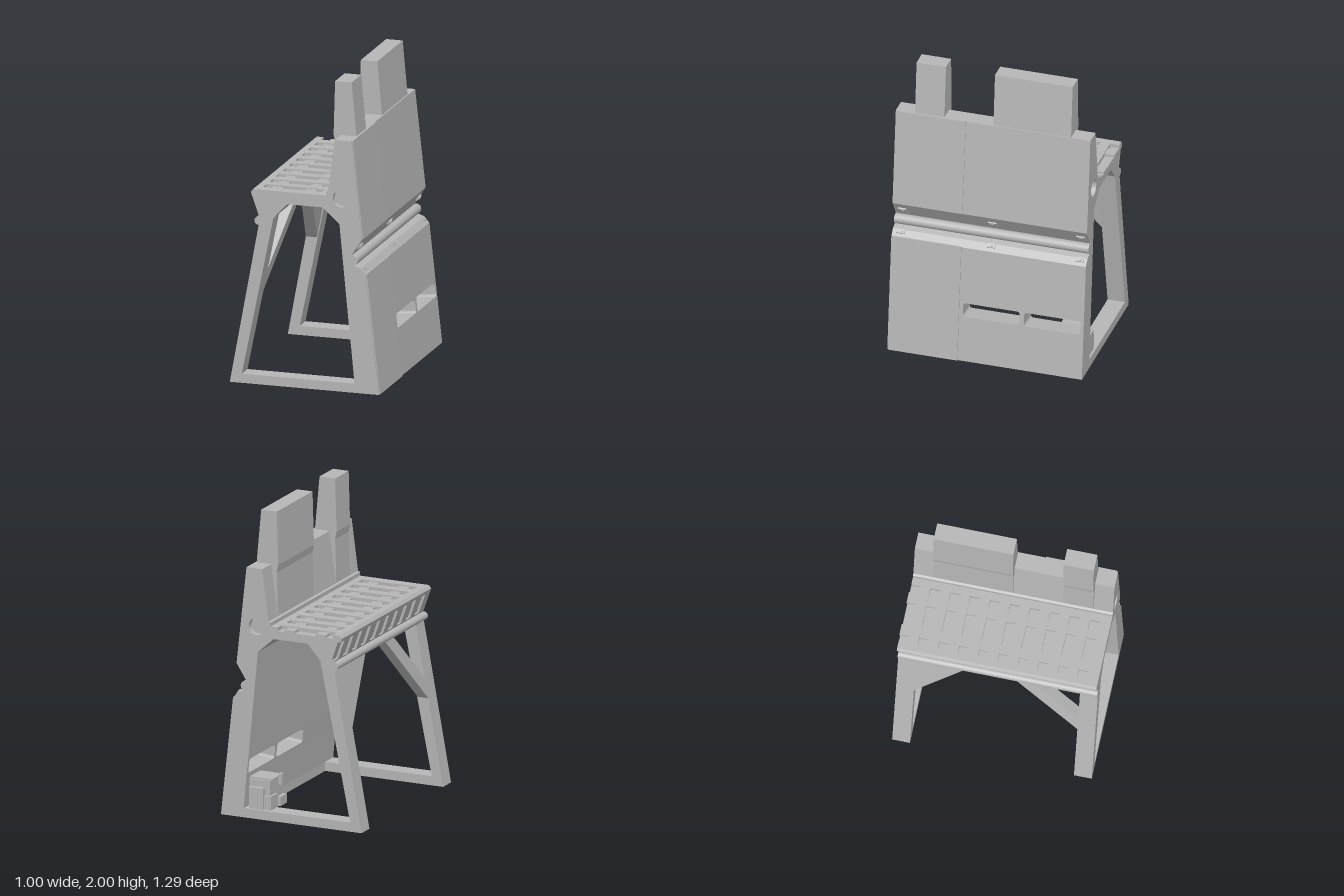
import * as THREE from 'three';

export function createModel() {
  const model = new THREE.Group();
  const grey = new THREE.MeshStandardMaterial({ color: 0xb6b6b6 });
  const END = 0.645;

  const add = (name, geo, parent = model) => {
    const m = new THREE.Mesh(geo, grey);
    m.name = name;
    parent.add(m);
    return m;
  };
  const shapeOf = (pts) => new THREE.Shape(pts.map((p) => new THREE.Vector2(p[0], p[1])));
  const solid = (shape, depth) =>
    new THREE.ExtrudeGeometry(shape, { depth, bevelEnabled: false, curveSegments: 12 });
  // Side profile (x, y) swept from z0 to z1
  const sweep = (name, pts, z0, z1) => add(name, solid(shapeOf(pts), z1 - z0).translate(0, 0, z0));
  const box = (name, x0, x1, y0, y1, z0, z1) =>
    add(name, new THREE.BoxGeometry(x1 - x0, y1 - y0, z1 - z0)
      .translate((x0 + x1) / 2, (y0 + y1) / 2, (z0 + z1) / 2));
  const pipe = (name, x, y, r) => {
    const m = add(name, new THREE.CylinderGeometry(r, r, END * 2, 20).rotateX(Math.PI / 2));
    m.position.set(x, y, 0);
  };

  // Slotted band of the sloping lower wall, cut square to its face
  const tilt = Math.atan(0.085 / 0.78);
  const up = new THREE.Vector2(-Math.sin(tilt), Math.cos(tilt));
  const out = new THREE.Vector2(Math.cos(tilt), Math.sin(tilt));
  const mid = new THREE.Vector2(0.49 - 0.109 * 0.352, 0.352);
  const T = 0.149, H = 0.065;
  const bandPoint = (s, d) => {
    const p = mid.clone().addScaledVector(up, s).addScaledVector(out, -d);
    return [p.x, p.y];
  };
  const band = shapeOf([[-END, -H], [END, -H], [END, H], [-END, H]]);
  const slot = (a, b) => {
    const h = 0.047, r = 0.02, p = new THREE.Path();
    p.moveTo(a + r, -h).lineTo(b - r, -h).quadraticCurveTo(b, -h, b, -h + r);
    p.lineTo(b, h - r).quadraticCurveTo(b, h, b - r, h);
    p.lineTo(a + r, h).quadraticCurveTo(a, h, a, h - r);
    p.lineTo(a, -h + r).quadraticCurveTo(a, -h, a + r, -h);
    band.holes.push(p);
  };
  slot(-0.155, 0.22);
  slot(0.25, 0.625);
  const basis = new THREE.Matrix4().makeBasis(
    new THREE.Vector3(0, 0, -1),
    new THREE.Vector3(up.x, up.y, 0),
    new THREE.Vector3(out.x, out.y, 0)
  ).setPosition(mid.x, mid.y, 0);
  add('slottedWall', solid(band, T).translate(0, 0, -T).applyMatrix4(basis));

  // Wall foot below the slots
  sweep('wallFoot', [[0.49, 0], bandPoint(-H, 0), bandPoint(-H, T), [0.33, 0.06], [0.33, 0]], -END, END);

  // Upper wall and bench core, with a round socket in each end
  const core = [
    bandPoint(H, 0), [0.405, 0.78], [0.37, 0.82], [0.325, 0.835], [0.31, 0.9], [0.38, 1.01],
    [0.31, 1.65], [0.2, 1.65], [0.155, 1.31], [0.14, 1.305], [0.14, 1.255], [-0.34, 1.255],
    [-0.283, 1.09], [-0.21, 1.1], [-0.12, 1.2], [0.12, 1.2], [0.23, 1.1], bandPoint(H, T),
  ];
  const SOCKET = 0.04;
  sweep('wallAndBench', core, -END + SOCKET, END - SOCKET);
  for (const z of [-END, END - SOCKET]) {
    const s = shapeOf(core);
    s.holes.push(new THREE.Path().absarc(0.24, 1.265, 0.055, 0, Math.PI * 2, true));
    add('socketEnd', solid(s, SOCKET).translate(0, 0, z));
  }

  // Thicker skin on one end of the outer wall
  sweep('lowerSkin', [[0.488, 0], [0.497, 0], [0.411, 0.785], [0.403, 0.785]], 0.18, END - 0.008);
  sweep('upperSkin', [[0.378, 1.01], [0.386, 1.012], [0.316, 1.65], [0.308, 1.65]], 0.18, END - 0.008);

  // Deck rails, lands between the grooves, and bars inside them
  box('deckRail', 0.09, 0.14, 1.255, 1.28, -END, END);
  sweep('deckLip', [[-0.3, 1.255], [-0.3, 1.28], [-0.345, 1.28], [-0.36, 1.26], [-0.352, 1.236], [-0.33, 1.236]], -END, END);
  sweep('fasciaLip', [[-0.308, 1.112], [-0.3, 1.09], [-0.28, 1.09], [-0.285, 1.112]], -END, END);
  const PITCH = 0.129;
  for (let k = 0; k < 10; k++) {
    const z0 = -0.585 + PITCH * k;
    const z1 = k === 9 ? END : z0 + 0.064;
    box('deckLand', -0.3, 0.09, 1.255, 1.28, z0, z1);
    sweep('fasciaRib', [[-0.353, 1.24], [-0.308, 1.112], [-0.285, 1.112], [-0.33, 1.24]], z0, z1);
    for (const x of [-0.25, -0.03]) box('grooveBar', x, x + 0.07, 1.25, 1.272, z0 - 0.065, z0);
  }

  // Leg and floor sill at each end
  const leg = [[-0.5, 0], [0.33, 0], [0.33, 0.06], [-0.42, 0.06], [-0.21, 1.1], [-0.3, 1.09]];
  sweep('backEndFrame', leg, -END, -0.53);
  sweep('frontEndFrame', leg, 0.53, END);

  // Braces sheared to follow the lean of the legs
  const brace = (name, pts) => {
    const g = solid(shapeOf(pts), 0.075).rotateY(Math.PI / 2);
    const p = g.attributes.position;
    for (let i = 0; i < p.count; i++) p.setX(i, p.getX(i) - 0.5 + 0.1835 * p.getY(i));
    g.computeVertexNormals();
    add(name, g);
  };
  brace('gussetPlate', [[0.54, 0.64], [0.54, 1.1], [0.15, 1.1]]);
  brace('diagonalBrace', [[-0.54, 0.56], [-0.04, 1.1], [-0.16, 1.1], [-0.54, 0.69]]);

  // Pipes along both long sides
  pipe('benchPipe', -0.31, 1.075, 0.027);
  pipe('wallPipe', 0.318, 0.866, 0.033);

  // Two tapered stacks
  const stack = [[0.16, 2], [0.27, 2], [0.302, 1.65], [0.302, 1.32], [0.152, 1.32], [0.16, 1.6], [0.15, 1.65]];
  sweep('wideStack', stack, -0.515, 0);
  sweep('narrowStack', stack, 0.325, 0.52);

  // Latches above and below the wall pipe
  for (const z of [-0.595, -0.01, 0.59]) {
    for (const [x, y, a] of [[0.348, 0.955, -0.57], [0.377, 0.81, 0.85]]) {
      const g = new THREE.Group();
      g.name = 'latch';
      add('latchPlate', new THREE.BoxGeometry(0.016, 0.03, 0.055), g);
      add('latchStud', new THREE.CylinderGeometry(0.013, 0.013, 0.026, 12).rotateZ(Math.PI / 2), g);
      g.position.set(x, y, z);
      g.rotation.z = a;
      model.add(g);
    }
  }

  // Small machine on the sill
  box('machineBody', 0.165, 0.31, 0.06, 0.245, -0.6, -0.43);
  box('machineLid', 0.155, 0.315, 0.245, 0.258, -0.59, -0.44);
  box('machineFront', 0.15, 0.2, 0.06, 0.15, -0.62, -0.52);
  box('machineSide', 0.2, 0.3, 0.06, 0.2, -0.63, -0.6);
  box('machineHandle', 0.133, 0.155, 0.2, 0.272, -0.5, -0.47);
  box('machineStep', 0.14, 0.17, 0.06, 0.12, -0.5, -0.41);

  return model;
}
